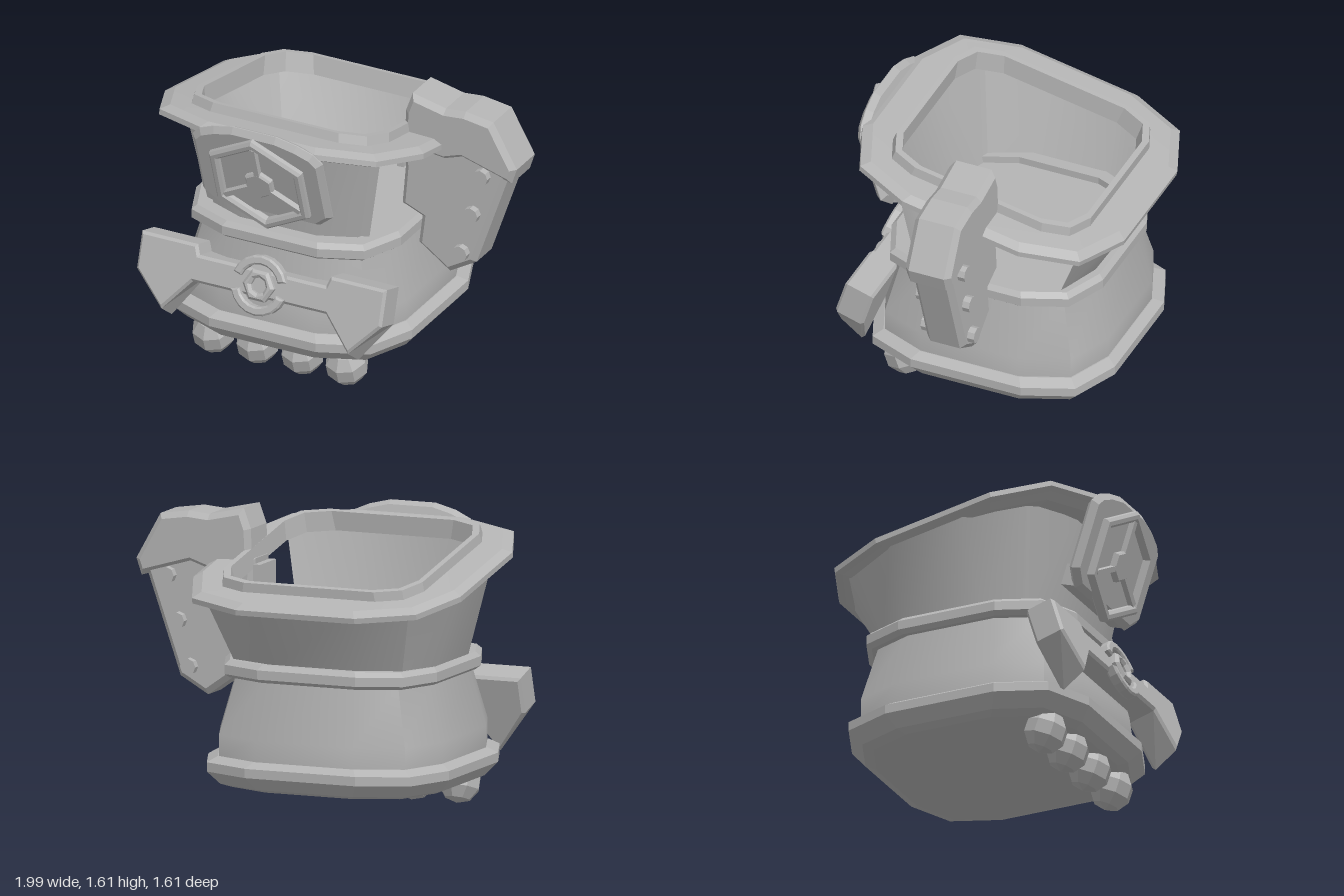
import * as THREE from 'three';
import { toCreasedNormals } from 'three/addons/utils/BufferGeometryUtils.js';

const metal = new THREE.MeshStandardMaterial({ color: 0xb4b4b4, side: THREE.DoubleSide });
metal.name = 'plain grey';

function add(parent, name, geometry, x = 0, y = 0, z = 0, crease = 0.1) {
  const mesh = new THREE.Mesh(toCreasedNormals(geometry, crease), metal);
  mesh.name = name;
  mesh.position.set(x, y, z);
  parent.add(mesh);
  return mesh;
}

// Rectangle of half sizes u (x) and hz (z) with two-segment corners of size r,
// starting at the front left corner; it may be tilted and shifted along z
function loop([u, r, y, tilt = 0, hz = u, cz = 0]) {
  const f = u - r, m = u - 0.29 * r, scale = u > 0 ? hz / u : 1;
  return [[m, m], [u, f], [u, -f], [m, -m], [f, -u], [-f, -u],
    [-m, -m], [-u, -f], [-u, f], [-m, m], [-f, u], [f, u]]
    .map(([x, z]) => [x, y + tilt * (z * scale + cz), z * scale + cz]);
}

// Skin between loops, beginning at side number "from"
function loft(sections, from = 0) {
  const loops = sections.map(loop), pos = [];
  for (let i = 0; i < loops.length - 1; i++) {
    for (let j = from; j < 12; j++) {
      const k = (j + 1) % 12, a = loops[i], b = loops[i + 1];
      pos.push(...a[j], ...a[k], ...b[k], ...a[j], ...b[k], ...b[j]);
    }
  }
  const g = new THREE.BufferGeometry();
  g.setAttribute('position', new THREE.Float32BufferAttribute(pos, 3));
  return g;
}

// Bevelled plate from an outline, centred on z = 0
function slab(points, depth, bevel, holes = []) {
  const shape = new THREE.Shape(points.map(p => new THREE.Vector2(...p)));
  for (const h of holes) shape.holes.push(new THREE.Path(h.map(p => new THREE.Vector2(...p))));
  const g = new THREE.ExtrudeGeometry(shape, {
    depth: depth - 2 * bevel, bevelEnabled: bevel > 0, bevelThickness: bevel,
    bevelSize: bevel, bevelOffset: -bevel, bevelSegments: 1,
  });
  return g.translate(0, 0, bevel - depth / 2);
}

const mirrored = half => [...half, ...half.slice().reverse().map(([x, y]) => [-x, y])];

function polygon(n, radius, start, sweep = Math.PI * 2) {
  const count = sweep < 6 ? n + 1 : n;
  return Array.from({ length: count }, (_, i) => {
    const a = start + sweep * i / n;
    return [radius * Math.cos(a), radius * Math.sin(a)];
  });
}

function buildBody(root) {
  const body = new THREE.Group();
  body.name = 'body';
  body.position.set(-0.22, 0, -0.035);
  root.add(body);
  add(body, 'baseBand', loft([[0, 0, 0.175], [0.59, 0.34, 0.175], [0.64, 0.36, 0.195],
    [0.70, 0.38, 0.265], [0.70, 0.38, 0.315], [0.65, 0.36, 0.345], [0.6, 0.34, 0.345]]));
  // Closed on top, which makes the floor of the cup
  add(body, 'lowerBody', loft([[0.645, 0.36, 0.34], [0.645, 0.36, 0.46], [0.56, 0.31, 0.78],
    [0.56, 0.31, 0.82], [0, 0, 0.82]]), 0, 0, 0, 0.5);
  add(body, 'waistBand', loft([[0.52, 0.29, 0.765], [0.59, 0.32, 0.765], [0.615, 0.33, 0.785],
    [0.615, 0.33, 0.835], [0.59, 0.32, 0.86], [0.52, 0.29, 0.86], [0.52, 0.29, 0.765]]));
  // The side behind the arm is left open
  add(body, 'upperWall', loft([[0.575, 0.33, 0.82, 0, 0.505, -0.025],
    [0.735, 0.5, 1.31, 0.197, 0.665, -0.07]], 3), 0, 0, 0, 0.5);

  // Tilted collar with a raised inner lip
  const rim = add(root, 'rim', loft([[0.535, 0.2, -0.05], [0.70, 0.4, -0.085], [0.745, 0.42, -0.065],
    [0.777, 0.432, -0.055], [0.777, 0.432, -0.025], [0.73, 0.41, 0], [0.585, 0.2, 0.005],
    [0.577, 0.2, 0.055], [0.545, 0.19, 0.055], [0.535, 0.2, -0.05]]), -0.22, 1.355, -0.045);
  rim.rotation.x = -0.195;
}

function buildBadge(root) {
  const badge = new THREE.Group();
  badge.name = 'frontBadge';
  badge.position.set(-0.22, 1.2, 0.715);
  badge.rotation.x = 0.31;
  root.add(badge);
  const plate = [[0.13, 0.345], [0.25, 0.315], [0.34, 0.275], [0.39, 0.22], [0.39, -0.17], [0.3, -0.25]];
  add(badge, 'badgePlate', slab(mirrored(plate), 0.065, 0.03), 0, 0, -0.07);
  add(badge, 'badgeFoot', new THREE.BoxGeometry(0.6, 0.12, 0.08), 0, -0.18, -0.12);
  const top = Math.PI / 2;
  add(badge, 'hexFrame', slab(polygon(6, 0.32, top), 0.06, 0.015, [polygon(6, 0.26, top)]), 0, 0, -0.03);
  add(badge, 'hexHub', slab(polygon(6, 0.09, top), 0.05, 0.01), 0, 0, -0.03);
  for (let i = 0; i < 3; i++) {
    const spoke = new THREE.BoxGeometry(0.03, 0.26, 0.045).translate(0, 0.13, 0);
    add(badge, 'spoke', spoke, 0, 0, -0.028).rotation.z = i * Math.PI * 2 / 3;
  }
}

function buildBumper(root) {
  const bumper = new THREE.Group();
  bumper.name = 'bumper';
  bumper.position.set(-0.22, 0.6, 0.69);
  bumper.rotation.x = -0.3;
  root.add(bumper);
  const half = [[0.38, 0.08], [0.4, 0.135], [0.735, 0.135], [0.735, -0.07], [0.56, -0.255], [0.4, -0.07]];
  const plate = slab(mirrored(half), 0.17, 0.015);
  // Draw the back of the wing tips downwards
  const p = plate.attributes.position;
  for (let i = 0; i < p.count; i++) {
    if (p.getZ(i) < 0 && p.getY(i) < -0.2) p.setY(i, p.getY(i) - 0.05);
  }
  add(bumper, 'bumperPlate', plate, 0, 0, -0.085);
  // Two arcs around the central nut
  for (const s of [0, Math.PI]) {
    const a = s + 0.3, w = Math.PI - 0.6;
    const arc = [...polygon(8, 0.165, a, w), ...polygon(8, 0.115, a, w).reverse()];
    add(bumper, 'boltArc', slab(arc, 0.06, 0.01), 0, 0, 0);
  }
  add(bumper, 'boltNut', slab(polygon(6, 0.095, 0), 0.06, 0.015, [polygon(8, 0.045, 0)]), 0, 0, 0.005);
}

function buildArm(root) {
  const arm = new THREE.Group();
  arm.name = 'sideArm';
  arm.position.z = -0.035;
  root.add(arm);
  add(arm, 'armPlate', slab([[0.31, 1.34], [0.32, 1.16], [0.3, 0.93], [0.42, 0.88], [0.4, 0.72],
    [0.585, 0.588], [0.745, 0.68], [0.94, 1.24], [0.9, 1.34]], 0.23, 0.03));
  add(arm, 'armCap', slab([[0.37, 1.61], [0.33, 1.5], [0.32, 1.29], [0.57, 1.26], [0.675, 1.295],
    [0.965, 1.21], [0.995, 1.30], [0.855, 1.55], [0.69, 1.575], [0.57, 1.565]], 0.265, 0.03));
  add(arm, 'hingePad', new THREE.BoxGeometry(0.04, 0.16, 0.21), 0.295, 1.23, 0);
  for (const [x, y] of [[0.8, 1.225], [0.74, 0.985], [0.675, 0.74]]) {
    const rivet = new THREE.CylinderGeometry(0.045, 0.045, 0.31, 8).rotateX(Math.PI / 2);
    add(arm, 'rivet', rivet, x, y, 0);
  }
}

export function createModel() {
  const root = new THREE.Group();
  root.name = 'cup';
  buildBody(root);
  buildBadge(root);
  buildBumper(root);
  buildArm(root);
  // Faceted toes under the front edge
  for (const x of [-0.625, -0.36, -0.09, 0.175]) {
    const toe = new THREE.SphereGeometry(0.12, 8, 5);
    add(root, 'toe', toe, x, 0.117, 0.45).rotation.x = 0.35;
  }
  return root;
}
